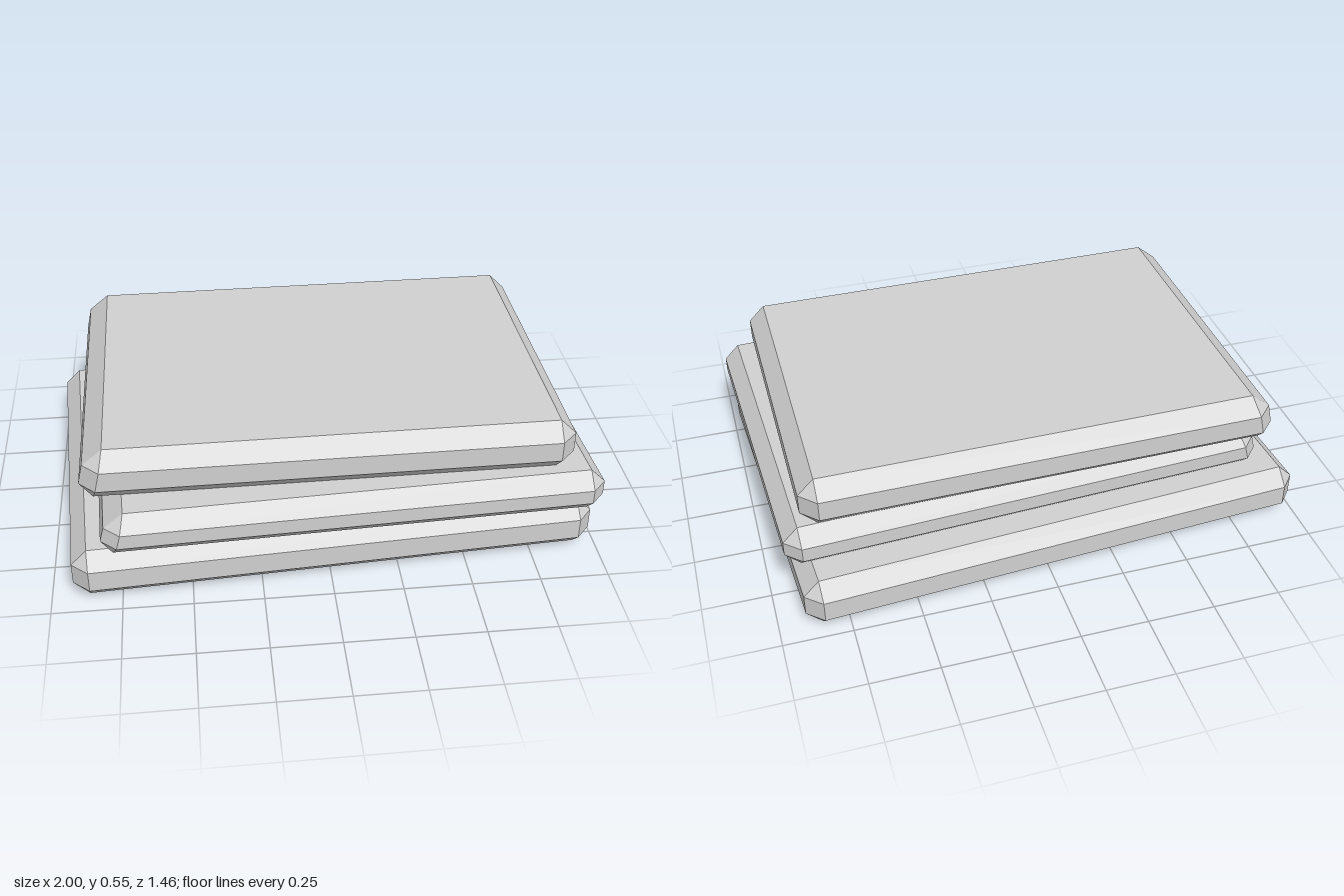
import * as THREE from 'three';
import { ConvexGeometry } from 'three/addons/geometries/ConvexGeometry.js';

// Box with bevelled edges and corners; its left-hand (-x) end leans inward towards the top
function slabGeometry(hx, height, hz, bevel, lean) {
  const hy = height / 2;
  const points = [];
  for (const sx of [-1, 1]) for (const sy of [-1, 1]) for (const sz of [-1, 1]) {
    // each box corner becomes three points, one on each adjoining face
    for (let axis = 0; axis < 3; axis++) {
      const x = sx * (hx - (axis === 0 ? 0 : bevel));
      const y = sy * (hy - (axis === 1 ? 0 : bevel));
      const z = sz * (hz - (axis === 2 ? 0 : bevel));
      const shift = sx < 0 ? lean * (y + hy) / height : 0;
      points.push(new THREE.Vector3(x + shift, y, z));
    }
  }
  return new ConvexGeometry(points);
}

export function createModel() {
  const group = new THREE.Group();
  group.name = 'slabStack';
  const stone = new THREE.MeshStandardMaterial({ color: 0xd0d0d0, flatShading: true });
  stone.name = 'light grey';

  // Stacked slabs, each turned a little differently
  const slabs = [
    { name: 'bottomSlab', hx: 0.952, hz: 0.667, y0: 0, y1: 0.194, bevel: 0.057, x: -0.01, z: -0.01, turn: 0.0625, lean: 0 },
    { name: 'middleSlab', hx: 0.912, hz: 0.636, y0: 0.194, y1: 0.359, bevel: 0.055, x: 0.058, z: 0.053, turn: 0.048, lean: 0.045 },
    { name: 'topSlab', hx: 0.884, hz: 0.615, y0: 0.359, y1: 0.553, bevel: 0.059, x: -0.007, z: 0, turn: 0.008, lean: 0.045 },
  ];
  for (const s of slabs) {
    const mesh = new THREE.Mesh(slabGeometry(s.hx, s.y1 - s.y0, s.hz, s.bevel, s.lean), stone);
    mesh.name = s.name;
    mesh.position.set(s.x, (s.y0 + s.y1) / 2, s.z);
    mesh.rotation.y = s.turn;
    group.add(mesh);
  }
  return group;
}
